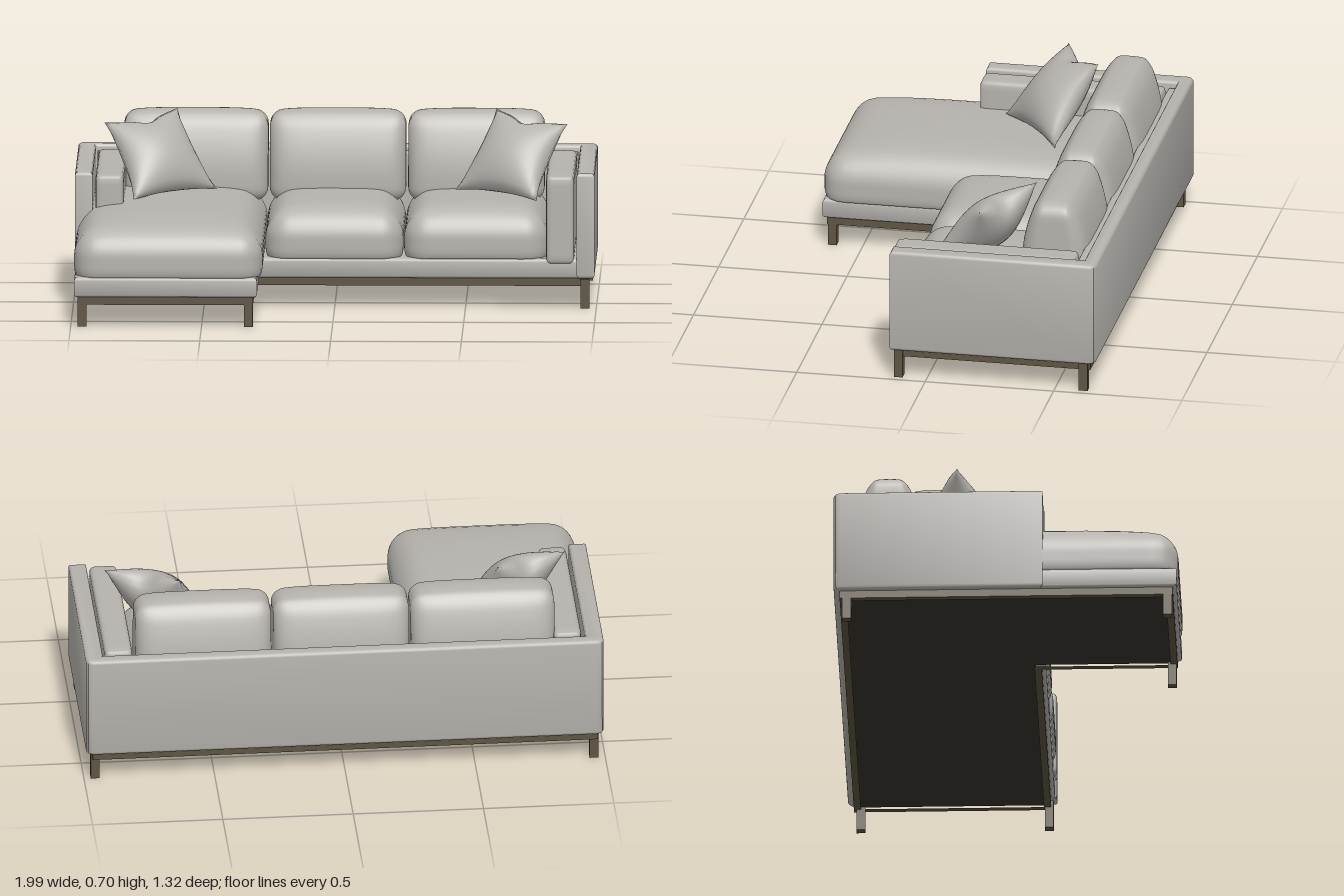
import * as THREE from 'three';
import { mergeGeometries, mergeVertices, toCreasedNormals } from 'three/addons/utils/BufferGeometryUtils.js';

const mat = (name, color) => Object.assign(new THREE.MeshStandardMaterial({ color }), { name });

// Merge seams and smooth a moved geometry
function smooth(geo) {
  geo.deleteAttribute('uv');
  geo.deleteAttribute('normal');
  const g = mergeVertices(geo, 1e-5);
  g.computeVertexNormals();
  return g;
}

// Rounded box between two corners; deform(p, n) moves each point, n is -1..1 in the box
function softBox([x0, y0, z0], [x1, y1, z1], r, deform, seg = 20) {
  const half = new THREE.Vector3(x1 - x0, y1 - y0, z1 - z0).multiplyScalar(0.5);
  const mid = new THREE.Vector3(x0 + x1, y0 + y1, z0 + z1).multiplyScalar(0.5);
  const geo = new THREE.BoxGeometry(2, 2, 2, seg, seg, seg);
  const pos = geo.attributes.position;
  const inner = half.clone().subScalar(r);
  const p = new THREE.Vector3(), c = new THREE.Vector3();
  for (let i = 0; i < pos.count; i++) {
    p.fromBufferAttribute(pos, i);
    // crowd the grid towards the edges so the rounding is fine
    p.set(...p.toArray().map(t => Math.sin(t * Math.PI / 2))).multiply(half);
    c.copy(p).clamp(inner.clone().negate(), inner);
    p.sub(c).normalize().multiplyScalar(r).add(c);
    const n = p.clone().divide(half);
    p.add(mid);
    if (deform) deform(p, n);
    pos.setXYZ(i, p.x, p.y, p.z);
  }
  return smooth(geo);
}

// Plan outline of [x, z] points, extruded upwards from y0 to y1 with a rounded edge
function slab(points, y0, y1, bevel, hole) {
  const toPath = (list) => list.map(([x, z]) => new THREE.Vector2(x, -z));
  const shape = new THREE.Shape(toPath(points));
  if (hole) shape.holes.push(new THREE.Path(toPath(hole)));
  const geo = new THREE.ExtrudeGeometry(shape, {
    depth: y1 - y0 - 2 * bevel, bevelEnabled: bevel > 0, bevelThickness: bevel,
    bevelSize: bevel, bevelOffset: -bevel, bevelSegments: 4,
  });
  geo.rotateX(-Math.PI / 2).translate(0, y0 + bevel, 0);
  return toCreasedNormals(geo, 0.6);
}

// L-shaped plan, inset by d
const lPlan = (d) => [
  [-0.99 + d, -0.655 + d], [0.985 - d, -0.655 + d], [0.985 - d, 0.135 - d],
  [-0.285 - d, 0.135 - d], [-0.285 - d, 0.655 - d], [-0.99 + d, 0.655 - d],
];

// Square throw pillow spanned by four corners, pinched at its edges
function pillowGeometry(bl, br, tl, tr, thick) {
  const [a, b, c, d] = [bl, br, tl, tr].map(v => new THREE.Vector3(...v));
  const normal = b.clone().sub(a).add(d).sub(c)
    .cross(c.clone().sub(a).add(d).sub(b)).normalize();
  const sides = [1, -1].map(s => {
    const g = new THREE.PlaneGeometry(2, 2, 24, 24);
    if (s < 0) g.rotateY(Math.PI);
    const pos = g.attributes.position;
    for (let i = 0; i < pos.count; i++) {
      const u = pos.getX(i), v = pos.getY(i);
      const U = (u * (1 - 0.13 * (1 - v * v)) + 1) / 2;
      const chop = 0.16 * Math.max(0, v) ** 4 * Math.exp(-9 * u * u);
      const V = (v * (1 - 0.1 * (1 - u * u)) - chop + 1) / 2;
      const p = a.clone().lerp(b, U).lerp(c.clone().lerp(d, U), V);
      const puff = Math.max(0, (1 - u * u) * (1 - v * v)) ** 0.6;
      p.addScaledVector(normal, s * thick * puff);
      pos.setXYZ(i, p.x, p.y, p.z);
    }
    return g;
  });
  return smooth(mergeGeometries(sides));
}

export function createModel() {
  const fabric = mat('greyFabric', 0xb6b3ae);
  const metal = mat('bronzeFrame', 0x5e5441);
  const lining = mat('darkUnderside', 0x37322a);
  const group = new THREE.Group();
  const add = (name, geo, material = fabric) => {
    const mesh = new THREE.Mesh(geo, material);
    mesh.name = name;
    group.add(mesh);
  };

  // Outer shell: back and both arms in one U, with softened back corners
  const c = 0.025;
  add('outerShell', slab([
    [-0.993, 0.14], [-0.993, -0.66 + c], [-0.985, -0.652], [-0.993 + c, -0.66],
    [0.993 - c, -0.66], [0.985, -0.652], [0.993, -0.66 + c], [0.993, 0.14],
    [0.925, 0.14], [0.925, -0.605], [-0.925, -0.605], [-0.925, 0.14],
  ].reverse(), 0.115, 0.522, 0.014));
  add('backLiner', softBox([-0.92, 0.15, -0.612], [0.92, 0.5, -0.57], 0.012, null, 10));

  // Inner arm pads
  for (const s of [-1, 1]) {
    const xs = [s * 0.807, s * 0.915].sort((p, q) => p - q);
    add(s < 0 ? 'rightArmPad' : 'leftArmPad',
      softBox([xs[0], 0.17, -0.565], [xs[1], 0.512, 0.143], 0.022, null, 14));
  }

  // Upholstered platform
  add('platform', slab(lPlan(0.003), 0.115, 0.192, 0.014));

  // Seat cushions: domed tops, flat undersides
  const seat = (x0, x1, z1, top, bulge) =>
    softBox([x0, 0.13, -0.58], [x1, top, z1], 0.095, (p, n) => {
      if (n.y > 0) p.y += bulge * n.y * (1 - n.x ** 4) * (1 - n.z ** 4);
      p.y = Math.max(p.y, 0.19);
    }, 28);
  add('chaiseCushion', seat(-0.988, -0.268, 0.657, 0.36, 0.045));
  add('middleSeatCushion', seat(-0.266, 0.262, 0.142, 0.36, 0.035));
  add('leftSeatCushion', seat(0.264, 0.815, 0.142, 0.36, 0.035));

  // Back cushions: thick at the bottom, thin at the top
  [['right', -0.815, -0.263], ['middle', -0.257, 0.264], ['left', 0.272, 0.793]].forEach(([side, x0, x1]) => {
    add(side + 'BackCushion', softBox([x0, 0.34, -0.585], [x1, 0.67, -0.315], 0.05, (p, n) => {
      const t = Math.max(0, (p.y - 0.42) / 0.25);
      const edge = 1 - 0.2 * n.x ** 6;
      p.z = -0.455 + (p.z + 0.45) * (1 - 0.45 * t * t) * edge;
      if (n.y > 0) p.y += 0.015 * n.y ** 2 * (1 - n.x ** 4) * (1 - n.z ** 2);
    }, 24));
  });

  // Throw pillows, mirrored
  const corners = [[-0.77, 0.4, 0.035], [-0.455, 0.405, -0.22], [-0.885, 0.665, -0.19], [-0.61, 0.698, -0.36]];
  const [bl, br, tl, tr] = corners.map(([x, y, z]) => [-x, y, z]);
  add('rightThrowPillow', pillowGeometry(...corners, 0.085));
  add('leftThrowPillow', pillowGeometry(br, bl, tr, tl, 0.085));

  // Metal frame, legs and dark underside
  add('baseFrame', slab(lPlan(0.018), 0.085, 0.117, 0, lPlan(0.045)), metal);
  add('underside', slab(lPlan(0.04), 0.095, 0.116, 0), lining);
  for (const [x, z] of [[-0.957, 0.617], [-0.321, 0.617], [0.957, 0.11], [0.957, -0.61], [-0.957, -0.61]]) {
    add('leg', new THREE.BoxGeometry(0.034, 0.112, 0.034).translate(x, 0.056, z), metal);
  }
  return group;
}
